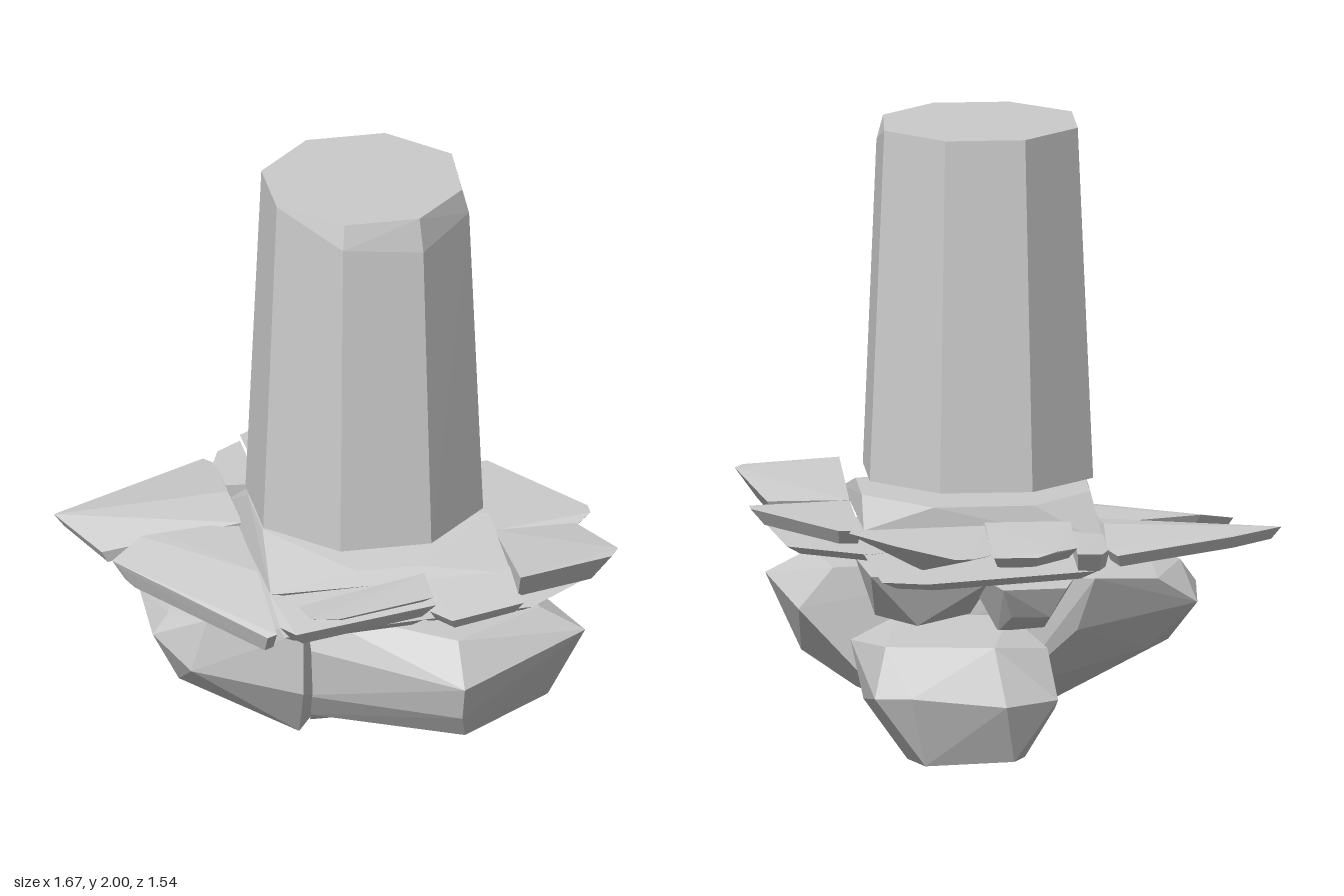
import * as THREE from 'three';
import { ConvexGeometry } from 'three/addons/geometries/ConvexGeometry.js';

const material = new THREE.MeshStandardMaterial({ color: 0xcccccc, flatShading: true });

// A faceted stone: the convex solid around a handful of corners [x, y, z]
function stone(name, corners) {
  const points = corners.map(c => new THREE.Vector3(...c));
  const mesh = new THREE.Mesh(new ConvexGeometry(points), material);
  mesh.name = name;
  return mesh;
}

// A thin slab: plan outline [x, z, top height], with its underside drawn in around a keel point
function slab(name, outline, thickness, keel, inset = 0.15) {
  const under = outline.map(([x, z, y]) => [
    x + (keel[0] - x) * inset, y - thickness, z + (keel[2] - z) * inset]);
  return stone(name, [...outline.map(([x, z, y]) => [x, y, z]), ...under, keel]);
}

// Tapered eight-sided column with a worn top edge on three corners
function column() {
  const corners = [];
  const wornHeight = [1.92, 1.89, 1.92];
  for (let i = 0; i < 8; i++) {
    const a = Math.PI / 8 + i * Math.PI / 4;
    const add = (r, y) => corners.push([0.092 + r * Math.cos(a), y, 0.077 + r * Math.sin(a)]);
    add(0.381, 0.88);
    if (i < 3) {
      add(0.336, wornHeight[i]);
      add(0.314, 2);
    } else add(0.33, 2);
  }
  return stone('column', corners);
}

export function createModel() {
  const model = new THREE.Group();

  // Heavy stones at the bottom
  const boulders = new THREE.Group();
  boulders.name = 'boulders';
  boulders.add(
    stone('frontBoulder', [
      [-0.15, 0.6, 0.24], [0.3, 0.59, 0.55], [0.6, 0.58, 0.35], [0.55, 0.58, 0.05], [-0.12, 0.6, 0.05],
      [-0.15, 0.3, 0.27], [-0.15, 0.48, 0.3], [0.3, 0.35, 0.62], [0.3, 0.47, 0.66],
      [0.74, 0.5, 0.38], [0.63, 0.26, 0.33], [0.66, 0.45, 0.04],
      [-0.14, 0.2, 0.2], [0.32, 0.26, 0.56], [0.3, 0.19, 0.37], [0.47, 0.18, 0.13], [0.4, 0.17, 0.03], [-0.1, 0.19, 0.05]]),
    stone('sideBoulder', [
      [-0.45, 0.6, 0.28], [-0.17, 0.6, 0.42], [-0.55, 0.57, 0.15], [-0.6, 0.5, 0.15], [-0.58, 0.5, -0.18],
      [-0.45, 0.59, -0.24], [-0.25, 0.6, -0.28], [-0.05, 0.58, -0.12], [-0.5, 0.42, 0.27], [-0.17, 0.38, 0.42],
      [-0.51, 0.32, 0.12], [-0.43, 0.34, -0.1], [-0.15, 0.14, 0.1], [-0.16, 0.19, 0.3],
      [-0.2, 0.42, -0.2], [-0.02, 0.2, 0.08], [0, 0.2, -0.05]]),
    stone('lowestBoulder', [
      [0, 0.43, 0], [0.35, 0.43, 0.02], [0.5, 0.36, -0.01], [0.42, 0.42, -0.42], [0.08, 0.42, -0.46], [-0.1, 0.38, -0.28],
      [-0.12, 0.25, -0.46], [0.05, 0.25, -0.57], [0.35, 0.28, -0.56], [0.46, 0.27, -0.5], [0.47, 0.2, -0.15],
      [0.3, 0.2, 0.02], [-0.05, 0.18, 0.01], [-0.13, 0.17, -0.2], [-0.04, 0, -0.13], [0.33, 0, -0.13],
      [0.3, 0.05, -0.49], [0.02, 0.06, -0.49]]),
    stone('rightWedge', [
      [0.05, 0.61, 0.05], [0.48, 0.61, 0.05], [0.45, 0.6, -0.2], [0.08, 0.6, -0.3],
      [0.12, 0.43, 0.03], [0.42, 0.43, 0.03], [0.3, 0.43, -0.15]]),
    stone('backWedge', [
      [-0.2, 0.6, -0.2], [-0.15, 0.6, -0.42], [0.05, 0.6, -0.44], [0.15, 0.6, -0.1],
      [-0.1, 0.5, -0.38], [0.02, 0.5, -0.38], [-0.1, 0.42, -0.15], [0.05, 0.42, -0.2]]));
  model.add(boulders);

  // Thin bedding slabs just above the boulders
  const bedding = new THREE.Group();
  bedding.name = 'beddingSlabs';
  bedding.add(
    slab('beddingRight', [[0.2, 0.5, 0.65], [0.55, 0.48, 0.65], [0.74, 0.35, 0.66], [0.7, 0, 0.66], [0.45, -0.15, 0.66], [0.2, 0, 0.66]],
      0.03, [0.4, 0.61, 0.2]),
    slab('beddingBack', [[-0.25, -0.4, 0.65], [0.3, -0.57, 0.65], [0.44, -0.53, 0.65], [0.47, -0.1, 0.66], [-0.2, 0.1, 0.66]],
      0.03, [0.1, 0.61, -0.2]),
    slab('beddingFront', [[-0.28, 0.1, 0.65], [0.3, 0.1, 0.66], [0.2, 0.5, 0.65], [-0.25, 0.52, 0.64]],
      0.03, [0, 0.6, 0.3]),
    slab('frontLeftSlab', [[-0.71, 0.05, 0.72], [-0.68, 0.08, 0.7], [-0.6, -0.04, 0.75], [-0.54, -0.05, 0.75], [-0.28, -0.1, 0.74],
      [-0.28, 0.23, 0.73], [-0.28, 0.55, 0.67], [-0.31, 0.55, 0.66]], 0.06, [-0.33, 0.61, 0.2], 0.1));
  model.add(bedding);

  // Ring of broken slabs around the foot of the column
  const ring = new THREE.Group();
  ring.name = 'slabRing';
  ring.add(
    slab('backLeftSlab', [[-0.84, -0.24, 0.75], [-0.68, -0.34, 0.74], [-0.3, -0.56, 0.73], [-0.27, -0.5, 0.74], [-0.28, -0.25, 0.77],
      [-0.27, -0.07, 0.75], [-0.72, -0.07, 0.69]], 0.04, [-0.45, 0.65, -0.15], 0.08),
    slab('backCornerSlab', [[-0.28, -0.5, 0.74], [-0.25, -0.58, 0.74], [-0.17, -0.62, 0.75], [-0.17, -0.3, 0.76], [-0.28, -0.33, 0.75]],
      0.06, [-0.2, 0.66, -0.35]),
    slab('backSlab', [[-0.17, -0.3, 0.79], [-0.17, -0.62, 0.77], [-0.1, -0.67, 0.77], [-0.04, -0.71, 0.76], [0.1, -0.71, 0.76],
      [0.1, -0.3, 0.79]], 0.04, [0, 0.65, -0.33]),
    slab('backRightSlab', [[0.1, -0.3, 0.78], [0.1, -0.7, 0.77], [0.17, -0.77, 0.77], [0.23, -0.77, 0.77], [0.4, -0.55, 0.77],
      [0.53, -0.34, 0.77], [0.52, -0.3, 0.77]], 0.02, [0.3, 0.65, -0.35]),
    slab('rightSlab', [[0.49, -0.3, 0.77], [0.56, -0.3, 0.77], [0.81, 0.06, 0.77], [0.81, 0.11, 0.77], [0.74, 0.17, 0.75],
      [0.49, 0.17, 0.77]], 0.05, [0.52, 0.67, 0]),
    slab('frontRightSlab', [[0.49, 0.17, 0.77], [0.75, 0.17, 0.77], [0.81, 0.4, 0.81], [0.83, 0.46, 0.82], [0.8, 0.51, 0.82],
      [0.49, 0.6, 0.82]], 0.09, [0.5, 0.68, 0.35], 0.2),
    slab('frontCornerSlab', [[0.22, 0.42, 0.77], [0.49, 0.42, 0.77], [0.5, 0.6, 0.73], [0.26, 0.66, 0.72], [0.2, 0.6, 0.73]],
      0.04, [0.35, 0.66, 0.45]),
    slab('frontLowSlab', [[-0.28, 0.42, 0.75], [0.2, 0.42, 0.77], [0.22, 0.6, 0.75], [-0.24, 0.66, 0.72], [-0.28, 0.6, 0.72]],
      0.05, [-0.05, 0.65, 0.42]),
    slab('frontHighSlab', [[-0.23, 0.64, 0.81], [0.2, 0.51, 0.82], [0.2, 0.66, 0.81], [-0.13, 0.77, 0.82], [-0.21, 0.75, 0.82]],
      0.02, [0, 0.74, 0.55]));
  model.add(ring);

  // Seat below the column: flat on top, falling away to four low corners
  model.add(stone('columnSeat', [
    [-0.25, 0.84, -0.08], [-0.06, 0.84, -0.29], [0.26, 0.84, -0.3], [0.47, 0.84, -0.08], [0.47, 0.84, 0.18],
    [-0.25, 0.84, 0.16], [0, 0.8, 0.42], [0.2, 0.8, 0.42],
    [-0.28, 0.71, -0.3], [0.48, 0.77, -0.3], [0.49, 0.76, 0.45], [-0.28, 0.76, 0.45],
    [0.1, 0.67, -0.2], [-0.2, 0.67, 0.05], [0.4, 0.67, 0.1], [0.1, 0.67, 0.38]]));

  model.add(column());
  return model;
}
